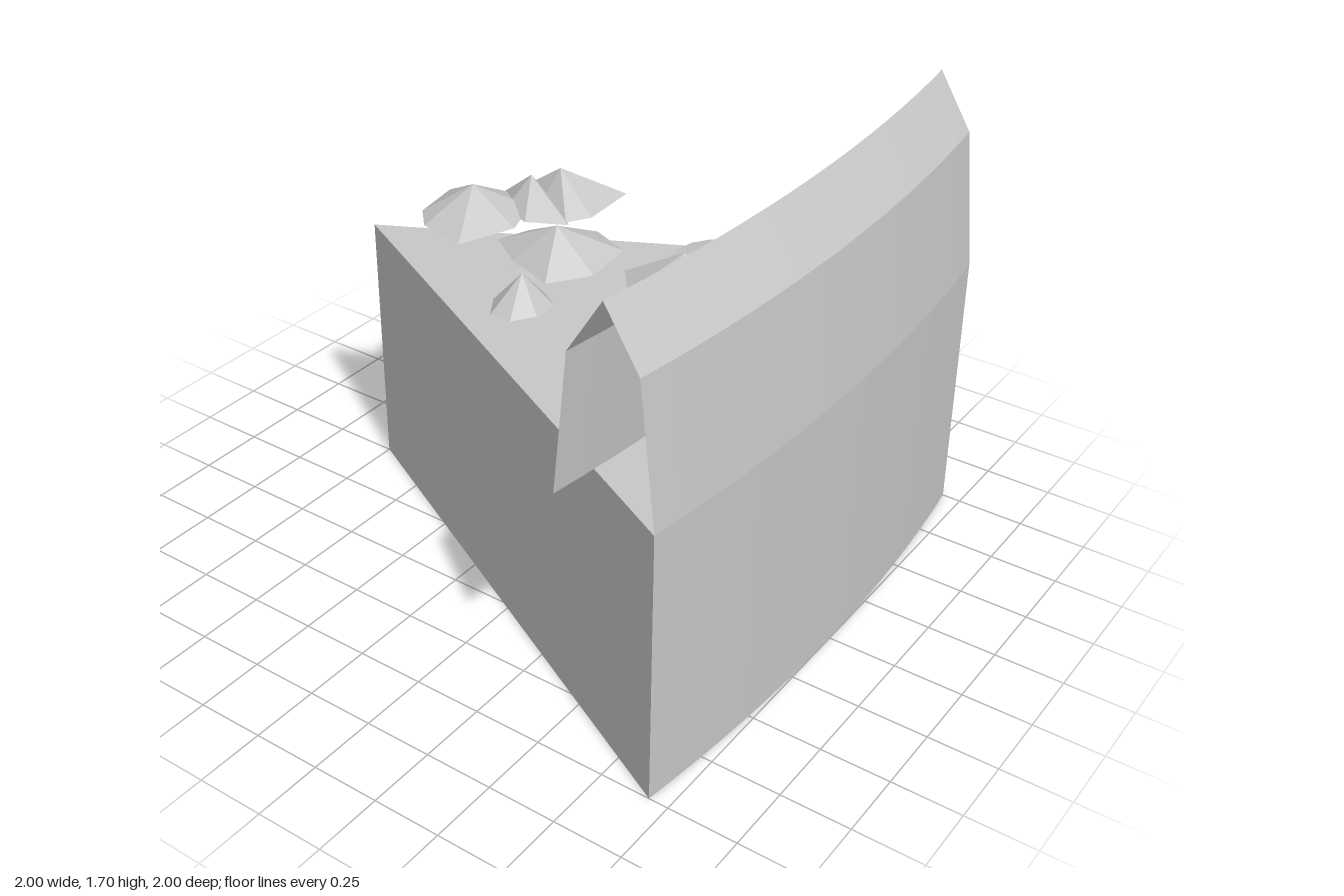
import * as THREE from 'three';

const grey = new THREE.MeshStandardMaterial({ color: 0xc8c8c8, flatShading: true, side: THREE.DoubleSide });
grey.name = 'plainGrey';

const SEGMENTS = 16;
const RADIUS = 7.18;
// How far the curved rim falls back from its middle at a given x
const rimDrop = (x) => RADIUS - Math.sqrt(RADIUS * RADIUS - x * x);
const rimX = (i) => -1 + (2 * i) / SEGMENTS;

function addMesh(group, name, geometry) {
  const mesh = new THREE.Mesh(geometry, grey);
  mesh.name = name;
  group.add(mesh);
  return mesh;
}

function makeGeometry(positions, index) {
  const geometry = new THREE.BufferGeometry();
  geometry.setAttribute('position', new THREE.Float32BufferAttribute(positions, 3));
  geometry.setIndex(index);
  geometry.computeVertexNormals();
  return geometry;
}

// Wedge with a gently curved front
function wedgeGeometry() {
  const shape = new THREE.Shape();
  shape.moveTo(0, 1);
  for (let i = 0; i <= SEGMENTS; i++) shape.lineTo(rimX(i), -(1 - rimDrop(rimX(i))));
  shape.closePath();
  const geometry = new THREE.ExtrudeGeometry(shape, { depth: 1, bevelEnabled: false });
  return geometry.rotateX(-Math.PI / 2);
}

// Hollow raised crust: an open arch swept along the rim
function crustGeometry() {
  const profile = [[1, 1], [1.5, 0.945], [1.7, 0.82], [1.5, 0.695], [1, 0.645]];
  const n = profile.length;
  const positions = [];
  const index = [];
  for (let i = 0; i <= SEGMENTS; i++) {
    const x = rimX(i);
    for (const [y, z] of profile) positions.push(x, y, z - rimDrop(x));
  }
  for (let i = 0; i < SEGMENTS; i++) {
    for (let j = 0; j < n - 1; j++) {
      const a = i * n + j;
      const b = a + n;
      index.push(a, b, a + 1, b, b + 1, a + 1);
    }
  }
  return makeGeometry(positions, index);
}

// Irregular open cone: peak and outline are [x, z]
function chunkGeometry(peak, outline) {
  const positions = [peak[0], 1.3, peak[1]];
  const index = [];
  outline.forEach(([x, z], i) => {
    positions.push(x, 1.18, z);
    index.push(0, ((i + 1) % outline.length) + 1, i + 1);
  });
  return makeGeometry(positions, index);
}

const chunks = [
  { peak: [0, -0.52], outline: [[0.11, -0.72], [0.22, -0.53], [0.17, -0.4], [0, -0.34], [-0.21, -0.42], [-0.165, -0.61], [-0.08, -0.69]] },
  { peak: [0.18, -0.4], outline: [[0.21, -0.55], [0.29, -0.52], [0.27, -0.43], [0.22, -0.3], [0.13, -0.2], [0.06, -0.34], [0.1, -0.46]] },
  { peak: [0.285, -0.35], outline: [[0.29, -0.52], [0.45, -0.5], [0.455, -0.18], [0.225, -0.17], [0.14, -0.22], [0.2, -0.38]] },
  { peak: [-0.085, -0.09], outline: [[-0.1, -0.335], [0.02, -0.29], [0.15, -0.09], [0.085, 0.065], [-0.12, 0.085], [-0.26, -0.01], [-0.19, -0.2]] },
  { peak: [-0.42, 0.02], outline: [[-0.44, -0.085], [-0.35, -0.055], [-0.31, 0.03], [-0.36, 0.105], [-0.45, 0.1], [-0.525, 0.05], [-0.525, -0.03]] },
  { peak: [0, 0.365], outline: [[-0.03, 0.15], [0.11, 0.22], [0.15, 0.38], [0.1, 0.49], [-0.055, 0.53], [-0.16, 0.445], [-0.155, 0.25]] },
  { peak: [-0.41, 0.58], outline: [[-0.43, 0.41], [-0.27, 0.42], [-0.165, 0.575], [-0.28, 0.72], [-0.47, 0.78], [-0.63, 0.64], [-0.615, 0.51]] },
];

const slices = [[0.3, 0.32], [-0.26, 0.43], [0.04, 0.715], [0.01, -0.155]];

export function createModel() {
  const model = new THREE.Group();
  model.name = 'wedgeSlice';
  addMesh(model, 'wedgeBody', wedgeGeometry());
  addMesh(model, 'crust', crustGeometry());

  // Peaked chunks hovering over the top
  const chunkGroup = new THREE.Group();
  chunkGroup.name = 'toppingChunks';
  chunks.forEach(({ peak, outline }, i) => addMesh(chunkGroup, `chunk${i + 1}`, chunkGeometry(peak, outline)));
  model.add(chunkGroup);

  // Shallow round slices below the chunks
  const sliceGroup = new THREE.Group();
  sliceGroup.name = 'roundToppings';
  const profile = [[0.175, 0], [0.1, 0.015], [0, 0.02]].map(([r, y]) => new THREE.Vector2(r, y));
  const dome = new THREE.LatheGeometry(profile, 16);
  slices.forEach(([x, z], i) => addMesh(sliceGroup, `roundTopping${i + 1}`, dome).position.set(x, 1.12, z));
  model.add(sliceGroup);
  return model;
}
